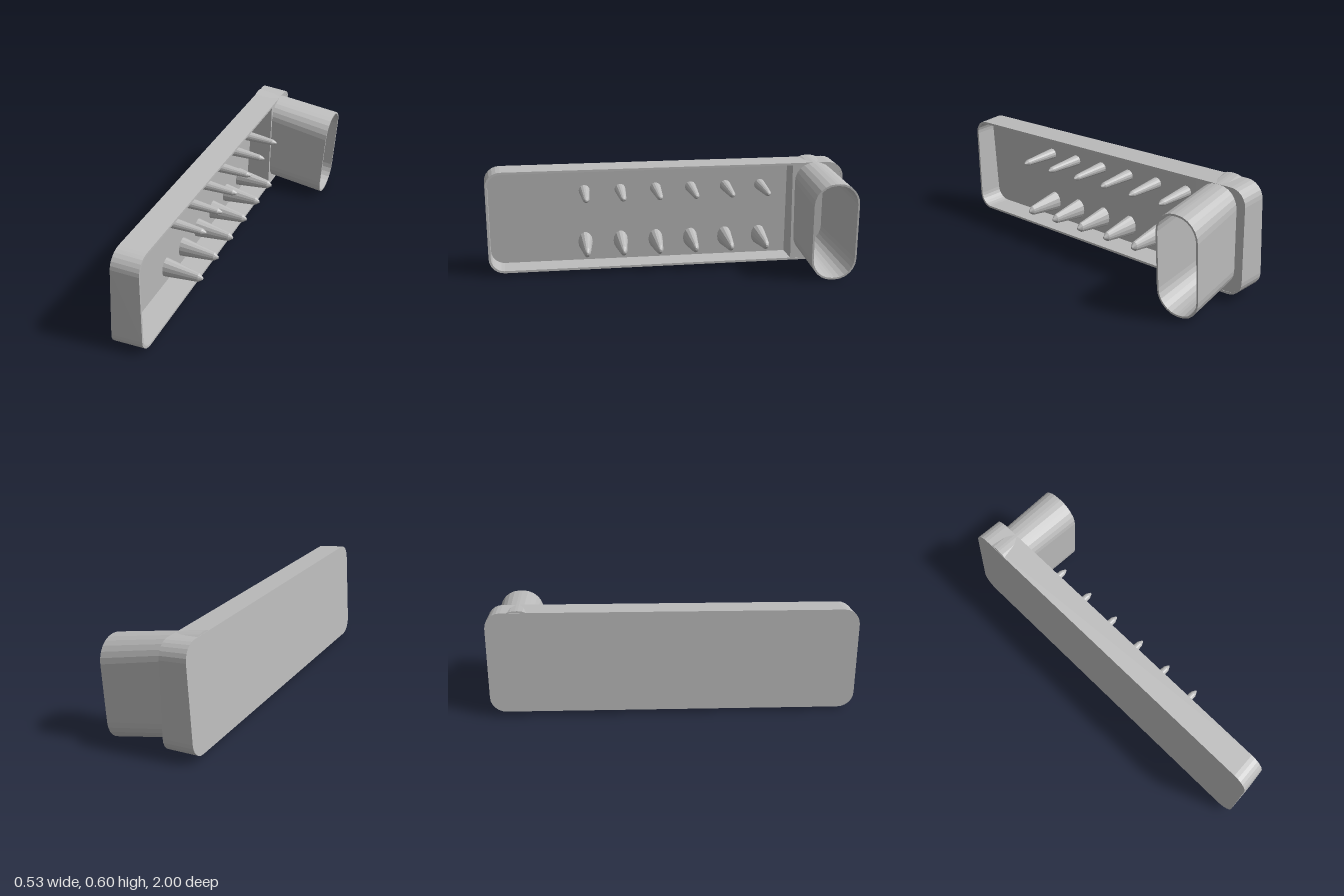
import * as THREE from 'three';

const grey = new THREE.MeshStandardMaterial({ color: 0xbcbcbc });
grey.name = 'plain grey';

// Local frame: x = out of the tray, y = up the tray, z = along the tray.
// Depth of the tray shrinks a little towards its upper edge.
const rimDepth = (y) => 0.153 - 0.044 * y;

// Rounded rectangle outline in the y-z plane; depth is a number or a rule of y.
function ring(cy, cz, height, length, radius, depth, steps = 6) {
  const points = [];
  const corners = [[1, 1], [-1, 1], [-1, -1], [1, -1]];
  corners.forEach(([sy, sz], k) => {
    for (let i = 0; i <= steps; i++) {
      const a = (k + i / steps) * Math.PI / 2;
      const y = cy + sy * (height / 2 - radius) + radius * Math.cos(a);
      // the angle runs from +y to +z, so shift each corner to its own quadrant
      const z = cz + sz * (length / 2 - radius) + radius * Math.sin(a);
      points.push([typeof depth === 'number' ? depth : depth(y), y, z]);
    }
  });
  return points;
}

// Skin through a list of rings, capped at both ends.
function loft(rings) {
  const out = [];
  const centre = (r) => [0, 1, 2].map((k) => r.reduce((s, p) => s + p[k], 0) / r.length);
  const first = rings[0], last = rings[rings.length - 1];
  const c0 = centre(first), c1 = centre(last), n = first.length;
  for (let j = 0; j < n; j++) {
    const k = (j + 1) % n;
    out.push(...c0, ...first[k], ...first[j], ...c1, ...last[j], ...last[k]);
    for (let i = 0; i < rings.length - 1; i++) {
      const a = rings[i][j], b = rings[i][k], c = rings[i + 1][k], d = rings[i + 1][j];
      out.push(...a, ...b, ...c, ...a, ...c, ...d);
    }
  }
  const g = new THREE.BufferGeometry();
  g.setAttribute('position', new THREE.Float32BufferAttribute(out, 3));
  g.computeVertexNormals();
  return g;
}

function trayGeometry() {
  return loft([
    ring(0, 0, 0.567, 1.976, 0.085, 0),
    ring(0.002, -0.005, 0.556, 1.964, 0.083, rimDepth),
    ring(0.002, -0.005, 0.532, 1.94, 0.071, rimDepth),
    ring(0.001, -0.002, 0.538, 1.946, 0.073, 0.02),
  ]);
}

// Hollow flared cup, closed at the tray and open at the far end.
function cupGeometry() {
  return loft([
    ring(0.034, -0.818, 0.52, 0.215, 0.1, 0.002),
    ring(-0.019, -0.847, 0.527, 0.246, 0.115, 0.484),
    ring(-0.019, -0.847, 0.507, 0.226, 0.105, 0.484),
    ring(0.032, -0.819, 0.5, 0.195, 0.09, 0.024),
  ]);
}

// Filled end of the tray with an opening for the cup.
function endBlockGeometry() {
  const shape = new THREE.Shape();
  const h = 0.27, near = 0.7, far = 0.978, r = 0.075;
  shape.moveTo(near, -h);
  shape.lineTo(far - r, -h);
  shape.absarc(far - r, -h + r, r, -Math.PI / 2, 0);
  shape.lineTo(far, h - r);
  shape.absarc(far - r, h - r, r, 0, Math.PI / 2);
  shape.lineTo(near, h);
  shape.closePath();
  const hole = ring(0.014, -0.826, 0.504, 0.208, 0.095, 0);
  shape.holes.push(new THREE.Path(hole.map(([, y, z]) => new THREE.Vector2(-z, y))));
  const g = new THREE.ExtrudeGeometry(shape, { depth: 1, bevelEnabled: false, curveSegments: 6 });
  g.rotateY(Math.PI / 2);
  // fit the top of the block to the sloping rim
  const p = g.attributes.position;
  for (let i = 0; i < p.count; i++) {
    p.setX(i, 0.012 + p.getX(i) * (rimDepth(p.getY(i)) - 0.014));
  }
  g.computeVertexNormals();
  return g;
}

// Tapered peg with a pointed tip; stretch makes its section oval.
function pegGeometry(baseRadius, tipRadius, length, stretch) {
  const profile = [[baseRadius, 0], [tipRadius, length - 0.024], [0.005, length], [0, length]]
    .map(([x, y]) => new THREE.Vector2(x, y));
  const g = new THREE.LatheGeometry(profile, 14);
  g.rotateZ(-Math.PI / 2);
  g.scale(1, stretch, 1);
  const flat = g.toNonIndexed();
  flat.computeVertexNormals();
  return flat;
}

export function createModel() {
  const model = new THREE.Group();
  model.name = 'pegTray';
  const body = new THREE.Group();
  body.name = 'leaningTray';
  model.add(body);

  const add = (name, geometry, parent = body) => {
    const mesh = new THREE.Mesh(geometry, grey);
    mesh.name = name;
    parent.add(mesh);
    return mesh;
  };

  add('tray', trayGeometry());
  add('endBlock', endBlockGeometry());
  add('cup', cupGeometry());

  // Two rows of six pegs
  const rows = [
    { name: 'upperPeg', y: 0.135, geometry: pegGeometry(0.031, 0.017, 0.225, 1) },
    { name: 'lowerPeg', y: -0.163, geometry: pegGeometry(0.041, 0.019, 0.22, 1.4) },
  ];
  for (const row of rows) {
    for (let i = 0; i < 6; i++) {
      add(row.name, row.geometry).position.set(0.015, row.y, 0.447 - i * 0.198);
    }
  }

  // Lean the whole tray
  const along = new THREE.Vector3(0.109, -0.0076, 0.994).normalize();
  const out = new THREE.Vector3(0.062, 0.998, 0.0008).cross(along).normalize();
  const up = new THREE.Vector3().crossVectors(along, out);
  body.quaternion.setFromRotationMatrix(new THREE.Matrix4().makeBasis(out, up, along));
  body.position.set(-0.14, 0.31, 0.017);
  return model;
}
